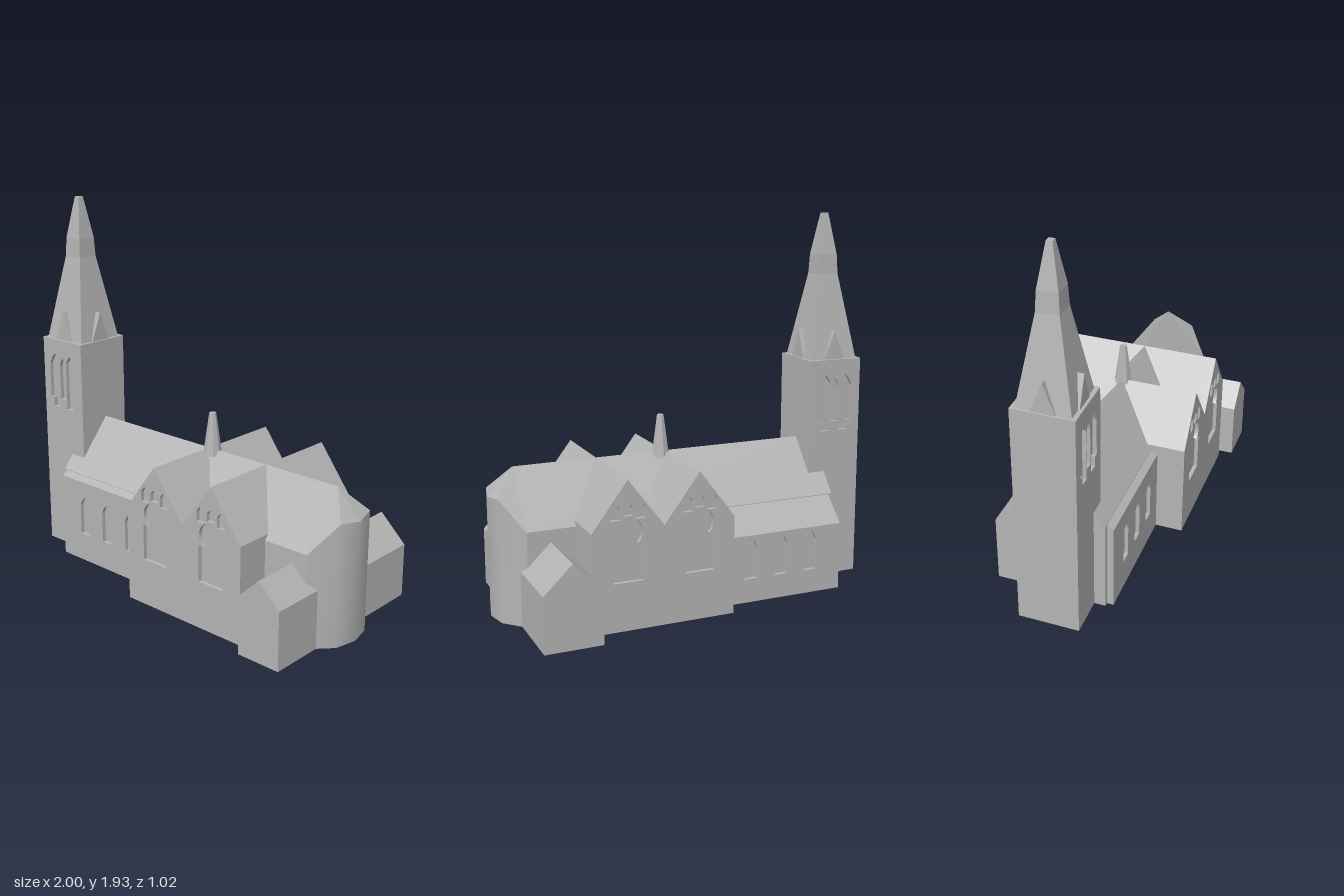
import * as THREE from 'three';

const stone = new THREE.MeshStandardMaterial({ color: 0xb4b4b4 });
stone.name = 'grey stone';

const AXIS = 0.042; // z of the nave ridge
const RECESS = 0.02; // depth of the window openings

function add(parent, name, geometry) {
  const mesh = new THREE.Mesh(geometry, stone);
  mesh.name = name;
  parent.add(mesh);
  return mesh;
}

function flat(geometry) {
  const g = geometry.index ? geometry.toNonIndexed() : geometry;
  g.computeVertexNormals();
  return g;
}

const outline = (pts) => new THREE.Shape(pts.map(([x, y]) => new THREE.Vector2(x, y)));

// Extrudes an (x, y) outline from z0 to z1
function prismZ(pts, z0, z1, holes = []) {
  const shape = outline(pts);
  holes.forEach((h) => shape.holes.push(outline(h)));
  return new THREE.ExtrudeGeometry(shape, { depth: z1 - z0, bevelEnabled: false }).translate(0, 0, z0);
}

// Extrudes a (z, y) outline from x0 to x1
function prismX(pts, x0, x1) {
  return prismZ(pts.map(([z, y]) => [-z, y]), x0, x1).rotateY(Math.PI / 2);
}

function box(x0, x1, y0, y1, z0, z1) {
  return new THREE.BoxGeometry(x1 - x0, y1 - y0, z1 - z0)
    .translate((x0 + x1) / 2, (y0 + y1) / 2, (z0 + z1) / 2);
}

const rect = (x0, x1, y0, y1) => [[x0, y0], [x1, y0], [x1, y1], [x0, y1]];

// Pointed window opening
function lancet(cx, w, y0, shoulder, top) {
  const h = w / 2;
  return [[cx - h, y0], [cx + h, y0], [cx + h, shoulder], [cx + h * 0.6, (shoulder + top * 2) / 3],
    [cx, top], [cx - h * 0.6, (shoulder + top * 2) / 3], [cx - h, shoulder]];
}

// Tall rectangular opening crowned by a round one
function roseWindow(cx) {
  const r = 0.074, cy = 0.49, neck = 0.435;
  const a0 = Math.asin((neck - cy) / r);
  const pts = [[cx - 0.077, 0.245], [cx + 0.077, 0.245], [cx + 0.077, neck]];
  for (let i = 0; i <= 24; i++) {
    const a = a0 + (Math.PI - 2 * a0) * i / 24;
    pts.push([cx + r * Math.cos(a), cy + r * Math.sin(a)]);
  }
  pts.push([cx - 0.077, neck]);
  return pts;
}

function buildTower() {
  const tower = new THREE.Group();
  tower.name = 'tower';
  const cx = -0.85, cz = 0.055, top = 1.18;
  add(tower, 'towerShaft', box(-1, -0.7, 0, top, -0.1 + RECESS, 0.21 - RECESS));

  // belfry openings: a middle lancet between two doubled ones
  const doubled = (s) => [[0.027, 0.8], [0.08, 0.8], [0.08, 0.85], [0.102, 0.85], [0.102, 1.04],
    [0.078, 1.085], [0.055, 1.1], [0.027, 1.06]].map(([x, y]) => [cx + s * x, y]);
  const holes = [doubled(-1), lancet(cx, 0.044, 0.85, 1.04, 1.08), doubled(1)];
  add(tower, 'towerFrontWall', prismZ(rect(-1, -0.7, 0, top), 0.21 - RECESS, 0.21, holes));
  add(tower, 'towerBackWall', prismZ(rect(-1, -0.7, 0, top), -0.1, -0.1 + RECESS, holes));

  // square spire in three tapering stages: [half width, height]
  const stages = [[0.133, top], [0.056, 1.62], [0.051, 1.72], [0.015, 1.935]];
  for (let i = 0; i < 3; i++) {
    const [a, y0] = stages[i], [b, y1] = stages[i + 1];
    const g = new THREE.CylinderGeometry(b * Math.SQRT2, a * Math.SQRT2, y1 - y0, 4);
    add(tower, 'spireStage', flat(g.rotateY(Math.PI / 4).translate(cx, (y0 + y1) / 2, cz)));
  }

  // crossing gablets at the foot of the spire
  const gablet = (c) => [[c - 0.06, top], [c + 0.06, top], [c, 1.33]];
  add(tower, 'gabletsFrontBack', prismZ(gablet(cx), cz - 0.14, cz + 0.14));
  add(tower, 'gabletsSides', prismX(gablet(cz), cx - 0.14, cx + 0.14));
  return tower;
}

function buildApse() {
  const apse = new THREE.Group();
  apse.name = 'apse';
  // eaves: [x, height, z offset from the ridge]
  const rim = [[0.87, 0.48, 0.226], [0.974, 0.625, 0.115], [1, 0.612, 0],
    [0.974, 0.625, -0.115], [0.87, 0.48, -0.226]];
  const walls = [], roof = [], floor = [], index = [];
  rim.forEach(([x, y, d], i) => {
    walls.push(x, 0, AXIS + d, x, y, AXIS + d);
    if (i === rim.length - 1) return;
    const [nx, ny, nd] = rim[i + 1], b = i * 2;
    index.push(b, b + 2, b + 3, b, b + 3, b + 1);
    roof.push(0.87, 0.75, AXIS, x, y, AXIS + d, nx, ny, AXIS + nd);
    floor.push(0.87, 0, AXIS, nx, 0, AXIS + nd, x, 0, AXIS + d);
  });
  const make = (name, pos, idx) => {
    const g = new THREE.BufferGeometry();
    g.setAttribute('position', new THREE.Float32BufferAttribute(pos, 3));
    if (idx) g.setIndex(idx);
    g.computeVertexNormals();
    add(apse, name, g);
  };
  make('apseWall', walls, index);
  make('apseRoof', roof);
  make('apseFloor', floor);
  return apse;
}

function buildTransepts() {
  const transepts = new THREE.Group();
  transepts.name = 'transepts';
  const z0 = -0.405, z1 = 0.445;
  const gables = [[-0.115, 0], [0.625, 0], [0.625, 0.505], [0.44, 0.75], [0.255, 0.505],
    [0.07, 0.75], [-0.115, 0.505]];
  const holes = [];
  for (const cx of [0.07, 0.44]) {
    holes.push(roseWindow(cx));
    for (const s of [-1, 0, 1]) {
      holes.push(lancet(cx + s * 0.064, 0.05, s ? 0.555 : 0.572, 0.605, 0.632));
    }
  }
  add(transepts, 'transeptBody', prismZ(gables, z0 + RECESS, z1 - RECESS));
  add(transepts, 'transeptFrontWall', prismZ(gables, z1 - RECESS, z1, holes));
  add(transepts, 'transeptBackWall', prismZ(gables, z0, z0 + RECESS, holes));
  return transepts;
}

// Side aisle with a lean-to roof; s is +1 at the front, -1 at the back
function buildAisle(name, s, inner, outer, eave, sill) {
  const aisle = new THREE.Group();
  aisle.name = name;
  const x0 = -0.775, x1 = -0.115, face = outer - s * RECESS;
  const profile = [[inner, 0], [face, 0], [face, eave], [outer, eave], [inner, 0.48]];
  add(aisle, 'aisleBody', prismX(profile, x0, x1));
  const holes = [-0.6, -0.43, -0.257].map((x) => lancet(x, 0.07, sill, sill + 0.165, sill + 0.213));
  add(aisle, 'aisleWall', prismZ(rect(x0, x1, 0, eave), Math.min(face, outer), Math.max(face, outer), holes));
  return aisle;
}

export function createModel() {
  const church = new THREE.Group();
  church.name = 'church';

  // nave with its pitched roof
  add(church, 'nave', prismX([[AXIS - 0.226, 0], [AXIS + 0.226, 0], [AXIS + 0.226, 0.48],
    [AXIS, 0.75], [AXIS - 0.226, 0.48]], -0.795, 0.87));

  church.add(buildTower(), buildApse(), buildTransepts());
  church.add(buildAisle('frontAisle', 1, 0.262, 0.302, 0.455, 0.155));
  church.add(buildAisle('backAisle', -1, -0.18, -0.31, 0.355, 0.125));

  // gabled annexes beside the apse
  const annex = (x0, x1, eave, ridge) =>
    [[x0, 0], [x1, 0], [x1, eave], [(x0 + x1) / 2, ridge], [x0, eave]];
  add(church, 'frontAnnex', prismZ(annex(0.672, 0.908, 0.3, 0.415), 0.2, 0.51));
  add(church, 'backAnnex', prismZ(annex(0.607, 0.897, 0.28, 0.418), -0.515, -0.12));

  // small turret on the ridge
  add(church, 'ridgeTurret', flat(new THREE.CylinderGeometry(0.018, 0.048, 0.22, 8)
    .translate(0.09, 0.83, AXIS)));

  return church;
}
